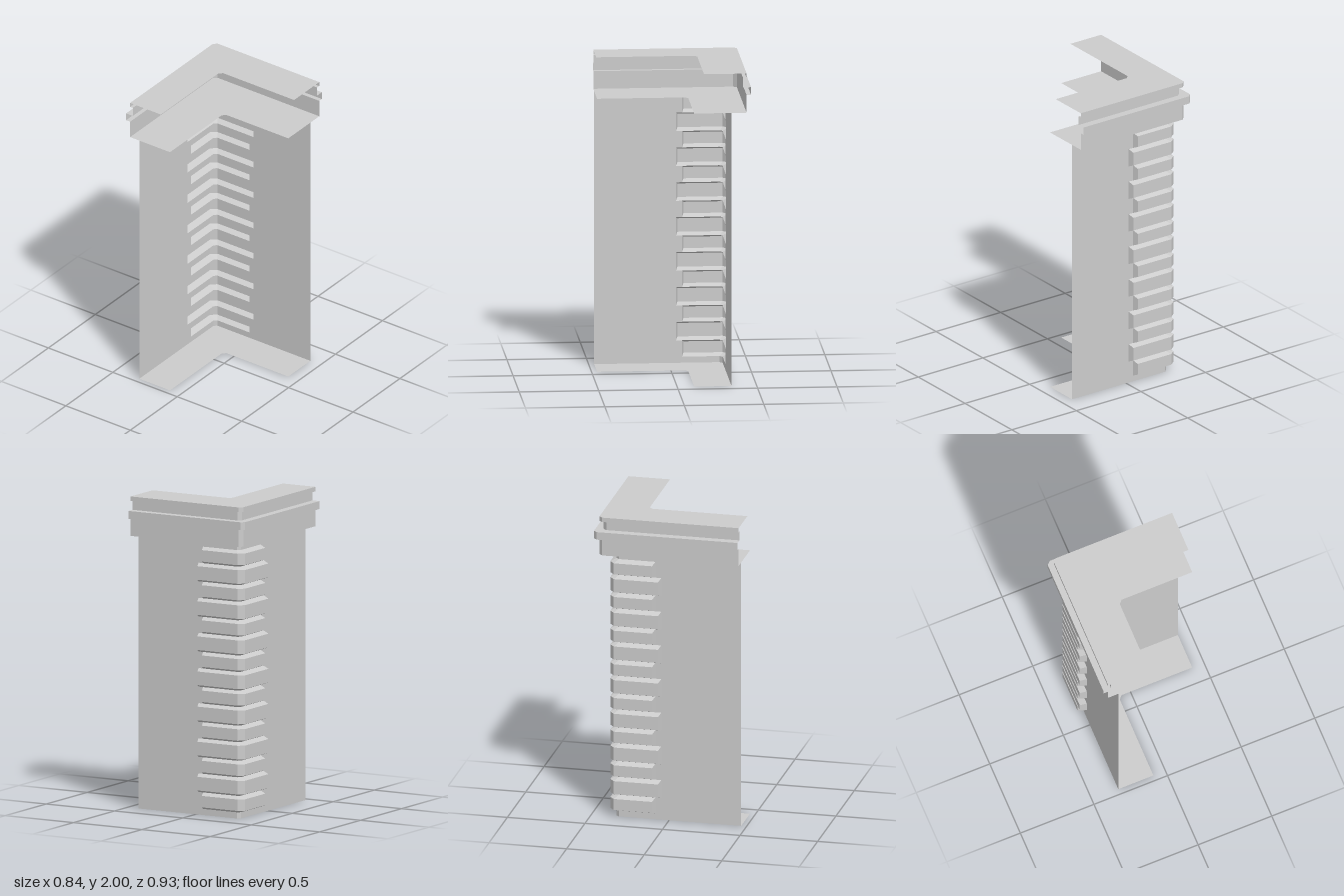
import * as THREE from 'three';

const X_END = 0.42, Z_END = 0.465;
const WALL_X = -0.32, WALL_Z = -0.342, WALL_TOP = 1.749;

const material = new THREE.MeshStandardMaterial({
  color: 0xcccccc, flatShading: true, side: THREE.DoubleSide,
});

// Skin rows of [x, y, z] points; each row runs along the back, round the corner, then forward.
function loft(name, rows) {
  const n = rows[0].length, index = [];
  for (let i = 0; i < rows.length - 1; i++) {
    for (let j = 0; j < n - 1; j++) {
      const a = i * n + j, b = a + 1, c = a + n, d = c + 1;
      index.push(a, b, d, a, d, c);
    }
  }
  const geometry = new THREE.BufferGeometry();
  geometry.setAttribute('position', new THREE.Float32BufferAttribute(rows.flat(2), 3));
  geometry.setIndex(index);
  const flat = geometry.toNonIndexed();
  flat.computeVertexNormals();
  const mesh = new THREE.Mesh(flat, material);
  mesh.name = name;
  return mesh;
}

// L-shaped line at height y with a chamfered corner
function cornerLine(y, x, z, c = 0.022, xEnd = X_END, zEnd = Z_END) {
  return [[xEnd, y, z], [x + c, y, z], [x, y, z + c], [x, y, zEnd]];
}

// Bevelled corner block wrapping both walls, open at the back
function quoin(y0, y1, xEnd, zEnd) {
  const bevel = 0.016, inset = 0.012;
  const base = (y) => {
    const p = cornerLine(y, WALL_X, WALL_Z, 0.018, xEnd, zEnd);
    return [p[0], ...p, p[3]];
  };
  const face = (y) => [
    [xEnd, y, WALL_Z],
    [xEnd - inset, y, -0.377], [-0.325, y, -0.377],
    [-0.363, y, -0.347], [-0.363, y, zEnd - inset],
    [WALL_X, y, zEnd],
  ];
  return loft('quoin', [base(y0), face(y0 + bevel), face(y1 - bevel), base(y1)]);
}

// Flat wall patches on the back and the side, between two distances from the corner
function wallPair(name, y0, y1, xa, xb, za, zb) {
  const g = new THREE.Group();
  g.name = name;
  g.add(
    loft('backPanel', [y0, y1].map((y) => [[xa, y, WALL_Z], [xb, y, WALL_Z]])),
    loft('sidePanel', [y0, y1].map((y) => [[WALL_X, y, zb], [WALL_X, y, za]])),
  );
  return g;
}

export function createModel() {
  const model = new THREE.Group();
  model.name = 'cornerWall';

  const wide = { x: -0.02, z: -0.05, h: 0.1185 };
  const narrow = { x: -0.053, z: -0.088, h: 0.105 };
  const first = 0.039;

  // Alternating corner blocks, with wall filling beside the narrow ones
  const quoins = new THREE.Group();
  quoins.name = 'quoins';
  const walls = new THREE.Group();
  walls.name = 'walls';
  let y = first;
  for (let i = 0; i < 15; i++) {
    const size = i % 2 ? wide : narrow;
    quoins.add(quoin(y, y + size.h, size.x, size.z));
    if (size === narrow) {
      walls.add(wallPair('wallFiller', y, y + size.h, wide.x, narrow.x, wide.z, narrow.z));
    }
    y += size.h;
  }

  // Main walls and the plain corner strips below and above the blocks
  walls.add(wallPair('mainWall', 0, WALL_TOP, X_END, wide.x, Z_END, wide.z));
  for (const [name, a, b] of [['lowerCorner', 0, first], ['upperCorner', y, WALL_TOP]]) {
    walls.add(loft(name, [a, b].map((h) => cornerLine(h, WALL_X, WALL_Z, 0.018, wide.x, wide.z))));
  }

  // Underside plate
  const base = loft('basePlate', [
    cornerLine(0, -0.0815, -0.107),
    cornerLine(0, WALL_X, WALL_Z, 0.018),
  ]);

  // Cornice profile from the inner lower edge, over the band, to the inner top edge
  const cornice = loft('cornice', [
    [1.749, -0.0815, -0.107],
    [1.749, -0.391, -0.437],
    [1.862, -0.391, -0.437],
    [1.862, -0.422, -0.465],
    [1.912, -0.422, -0.465],
    [1.912, -0.37, -0.415],
    [1.971, -0.37, -0.415],
    [1.971, -0.391, -0.437],
    [2, -0.391, -0.437],
    [2, -0.153, -0.169],
  ].map(([h, px, pz]) => cornerLine(h, px, pz)));

  model.add(walls, quoins, base, cornice);
  return model;
}
